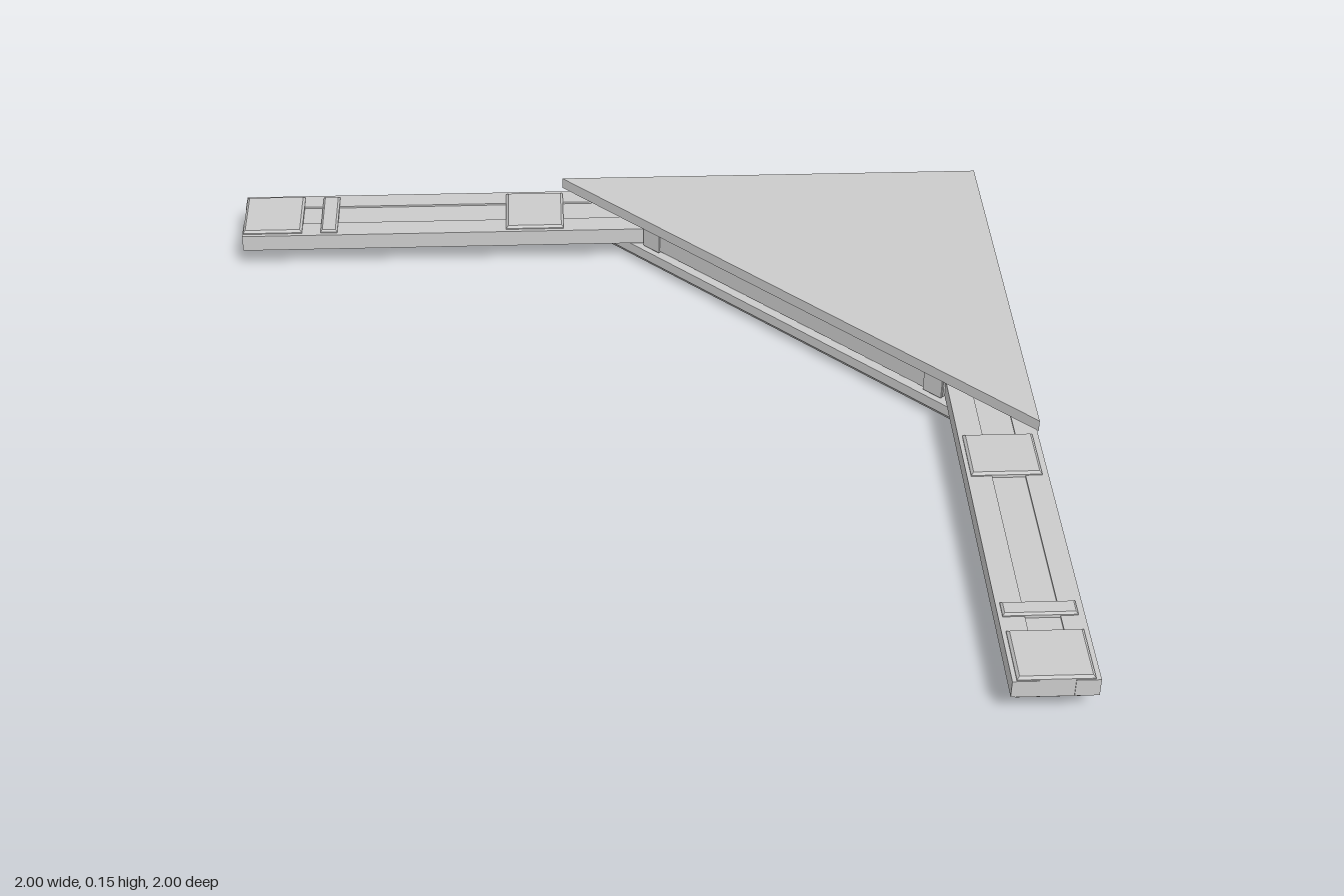
import * as THREE from 'three';
import { ConvexGeometry } from 'three/addons/geometries/ConvexGeometry.js';

const material = new THREE.MeshStandardMaterial({ color: 0xcccccc, flatShading: true });

// Upright prism over a plan outline of [x, z] points, with optional chamfer on top and bottom
function prism(name, outline, y0, y1, chamfer = 0) {
  const shape = new THREE.Shape(outline.map(([x, z]) => new THREE.Vector2(x, -z)));
  const geometry = new THREE.ExtrudeGeometry(shape, {
    depth: y1 - y0 - 2 * chamfer,
    bevelEnabled: chamfer > 0,
    bevelThickness: chamfer,
    bevelSize: chamfer,
    bevelOffset: -chamfer,
    bevelSegments: 1,
  });
  geometry.rotateX(-Math.PI / 2).translate(0, y0 + chamfer, 0);
  const mesh = new THREE.Mesh(geometry, material);
  mesh.name = name;
  return mesh;
}

// One arm: u runs along it from the free end (-1) to the corner (1), v runs from outside (-1) inwards
function createArm(name, place, end) {
  const arm = new THREE.Group();
  arm.name = name;
  const bar = (part, u0, u1, v0, v1, y0, y1, chamfer) =>
    arm.add(prism(part, [[u0, v0], [u1, v0], [u1, v1], [u0, v1]].map(place), y0, y1, chamfer));

  // Two rails with a recessed panel between them
  bar('outerRail', -1, end, -1, -0.945, 0.063, 0.108);
  bar('middlePanel', -0.99, end, -0.945, -0.865, 0.068, 0.103);
  bar('innerRail', -1, end, -0.865, -0.805, 0.063, 0.108);

  // Raised blocks and a narrow strap clasping the rails
  bar('endBlock', -0.998, -0.84, -0.988, -0.815, 0.054, 0.117, 0.006);
  bar('strap', -0.79, -0.745, -0.985, -0.815, 0.055, 0.116, 0.005);
  bar('innerBlock', -0.29, -0.135, -0.985, -0.815, 0.054, 0.117, 0.006);
  return arm;
}

export function createModel() {
  const model = new THREE.Group();
  model.name = 'cornerBracket';

  // Triangular plates
  const triangle = [[-0.135, -1], [1, -1], [1, 0.135]];
  model.add(prism('topPlate', triangle, 0.12, 0.15));

  const inset = 0.022;
  const tip = inset * (1 + Math.SQRT2);
  const underside = [[-0.135 + tip, -1 + inset], [1 - inset, -1 + inset], [1 - inset, 0.135 - tip]];
  const at = (y) => ([x, z]) => new THREE.Vector3(x, y, z);
  const bottomPlate = new THREE.Mesh(
    new ConvexGeometry([...underside.map(at(0)), ...triangle.map(at(0.025)), ...triangle.map(at(0.053))]),
    material
  );
  bottomPlate.name = 'bottomPlate';
  model.add(bottomPlate);

  // Arms, mirrored across the diagonal
  model.add(createArm('backArm', ([u, v]) => [u, v], 1));
  model.add(createArm('leftArm', ([u, v]) => [-v, -u], 0.805));

  // Diagonal brace between the plates, with raised blocks at both ends
  const brace = new THREE.Group();
  brace.name = 'diagonalBrace';
  const strip = (name, x0, x1, front, back, y0, y1, chamfer) =>
    brace.add(prism(name, [
      [x0, x0 - front], [x1, x1 - front],
      [x1 + (front - back) * -0.5, x1 - front + (front - back) * -0.5 - (back - front)],
      [x0 + (front - back) * -0.5, x0 - front + (front - back) * -0.5 - (back - front)],
    ], y0, y1, chamfer));
  strip('frontRail', 0.08, 0.80, 0.885, 0.965, 0.063, 0.108);
  strip('bracePanel', 0.12, 0.76, 0.965, 1.075, 0.068, 0.103);
  strip('backRail', 0.16, 0.72, 1.075, 1.155, 0.063, 0.108);
  strip('braceBlock', 0.08, 0.12, 0.88, 1.12, 0.054, 0.117, 0.005);
  strip('braceBlock', 0.755, 0.795, 0.88, 1.12, 0.054, 0.117, 0.005);
  model.add(brace);

  return model;
}
